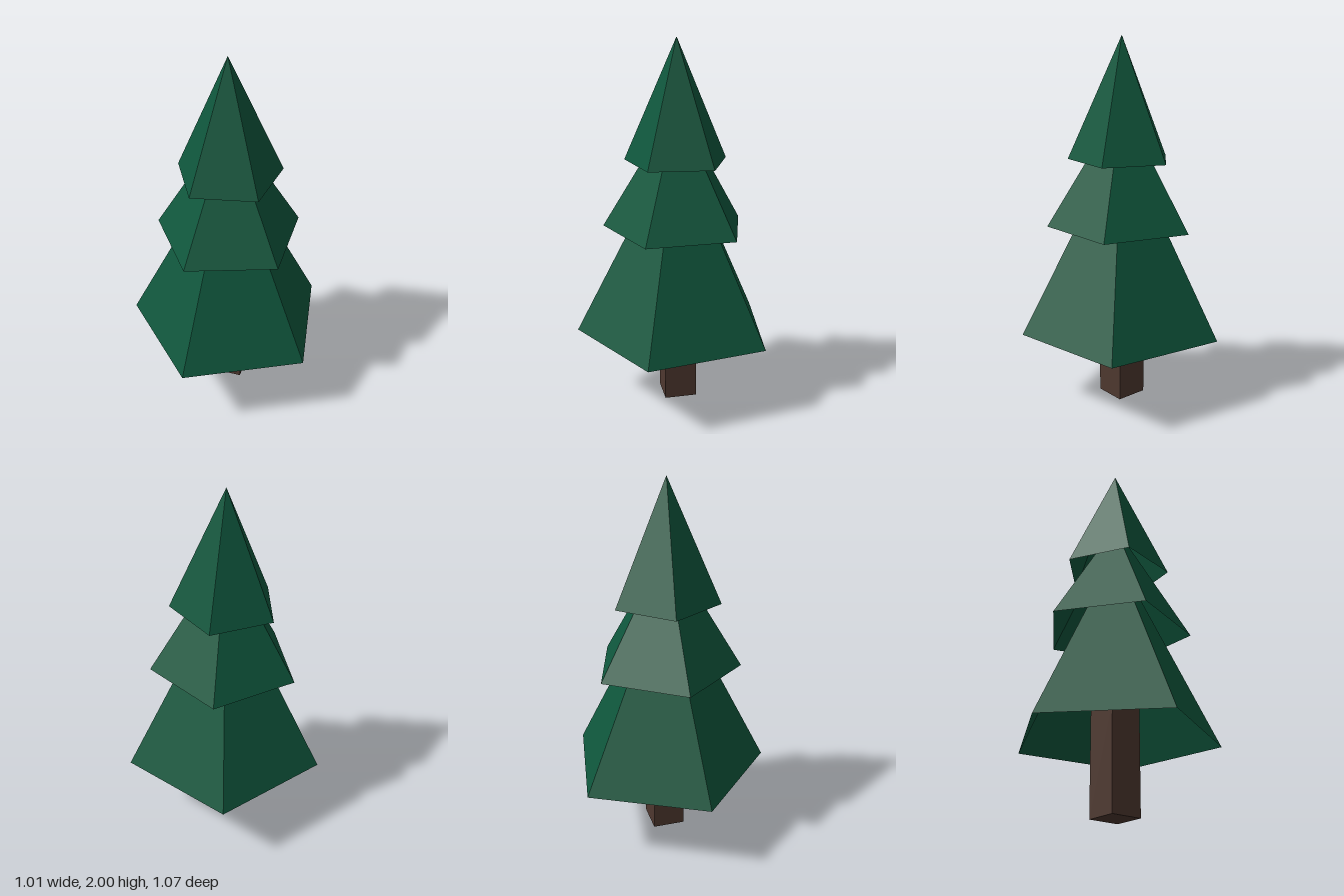
import * as THREE from 'three';

export function createModel() {
  const tree = new THREE.Group();
  tree.name = 'pineTree';

  const green = new THREE.MeshStandardMaterial({ color: 0x0f563c, flatShading: true, side: THREE.DoubleSide });
  green.name = 'pineGreen';
  const brown = new THREE.MeshStandardMaterial({ color: 0x4e382f, flatShading: true });
  brown.name = 'barkBrown';

  // All parts share one axis, offset so the lowest pentagon is centred on x = 0
  const axisX = -0.054;

  const add = (name, geometry, material, bottom, height) => {
    const mesh = new THREE.Mesh(geometry, material);
    mesh.name = name;
    mesh.position.set(axisX, bottom + height / 2, 0);
    tree.add(mesh);
  };

  // Square trunk set cornerwise, reaching up inside the lowest tier
  add('trunk', new THREE.CylinderGeometry(0.125, 0.125, 0.56, 4), brown, 0, 0.56);

  // Hollow five-sided foliage tiers, each twisted a little further
  const tiers = [
    { name: 'lowerFoliage', radius: 0.561, bottom: 0.392, apex: 1.48, twist: 0 },
    { name: 'middleFoliage', radius: 0.407, bottom: 0.987, apex: 1.655, twist: 7.7 },
    { name: 'upperFoliage', radius: 0.291, bottom: 1.351, apex: 2, twist: 15.2 },
  ];
  for (const { name, radius, bottom, apex, twist } of tiers) {
    const height = apex - bottom;
    const start = THREE.MathUtils.degToRad(90 - twist);
    add(name, new THREE.ConeGeometry(radius, height, 5, 1, true, start), green, bottom, height);
  }

  return tree;
}
